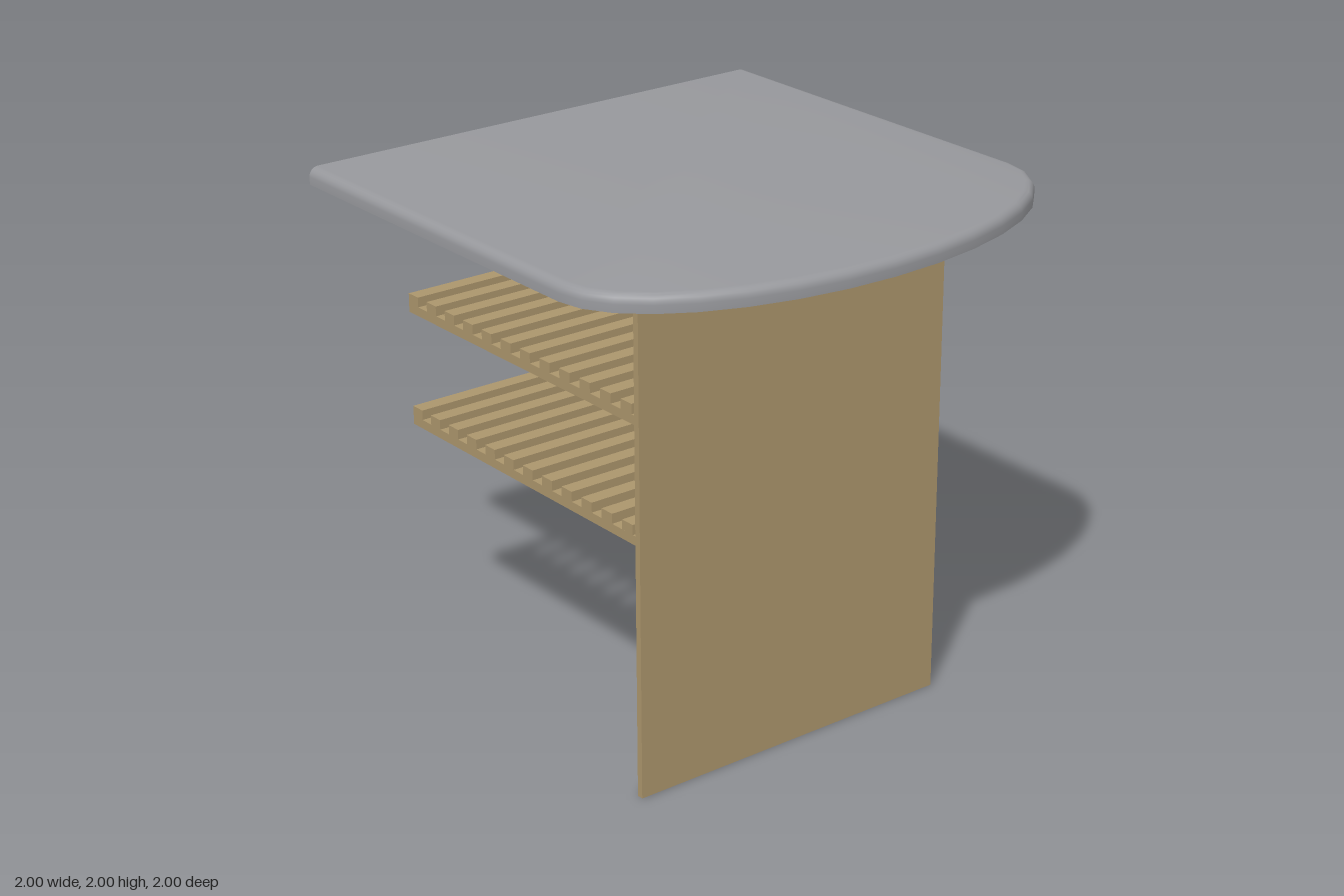
import * as THREE from 'three';
import { toCreasedNormals } from 'three/addons/utils/BufferGeometryUtils.js';

const wood = new THREE.MeshStandardMaterial({ color: 0xab956c });
wood.name = 'wood';
const grey = new THREE.MeshStandardMaterial({ color: 0x96979b });
grey.name = 'grey worktop';

// Box given by its min and max on each axis
function box(name, [x0, x1], [y0, y1], [z0, z1]) {
  const mesh = new THREE.Mesh(new THREE.BoxGeometry(x1 - x0, y1 - y0, z1 - z0), wood);
  mesh.position.set((x0 + x1) / 2, (y0 + y1) / 2, (z0 + z1) / 2);
  mesh.name = name;
  return mesh;
}

// Worktop outline: straight sides and back, half-ellipse front
function outline(inset) {
  const w = 1 - inset, d = 0.5 - inset, points = [[w, -1]];
  for (let i = 0; i <= 16; i++) {
    const a = (i / 16) * Math.PI;
    points.push([w * Math.cos(a), 0.5 + d * Math.sin(a)]);
  }
  points.push([-w, -1]);
  return points;
}

// Worktop: outlines stacked up a rounded upper edge
function worktopGeometry() {
  const r = 0.035, layers = [[1.936, 0]];
  for (let i = 0; i <= 5; i++) {
    const a = (i / 5) * Math.PI / 2;
    layers.push([2 - r + r * Math.sin(a), r * (1 - Math.cos(a))]);
  }
  const positions = [], index = [];
  const n = outline(0).length;
  for (const [y, inset] of layers) {
    for (const [x, z] of outline(inset)) positions.push(x, y, z);
  }
  for (let k = 0; k < layers.length - 1; k++) {
    for (let i = 0; i < n; i++) {
      const a = k * n + i, b = k * n + (i + 1) % n;
      index.push(a, a + n, b, b, a + n, b + n);
    }
  }
  const top = (layers.length - 1) * n;
  for (let i = 1; i < n - 1; i++) {
    index.push(0, i, i + 1);
    index.push(top, top + i + 1, top + i);
  }
  const geometry = new THREE.BufferGeometry();
  geometry.setAttribute('position', new THREE.Float32BufferAttribute(positions, 3));
  geometry.setIndex(index);
  return toCreasedNormals(geometry, 0.6);
}

// Slatted shelf: tall rail on the left, low ledge on both sides, slats across
function shelf(y) {
  const group = new THREE.Group();
  const depth = [-1, 0.475];
  group.add(box('sideRail', [0.57, 0.615], [y, y + 0.125], depth));
  group.add(box('leftLedge', [0.43, 0.57], [y, y + 0.035], depth));
  group.add(box('rightLedge', [-0.605, -0.45], [y, y + 0.035], depth));
  const count = 13, width = 0.06, pitch = (1.475 - width) / (count - 1);
  for (let i = 0; i < count; i++) {
    const z = -1 + i * pitch;
    group.add(box('slat', [-0.605, 0.57], [y + 0.035, y + 0.073], [z, z + width]));
  }
  return group;
}

export function createModel() {
  const model = new THREE.Group();
  model.name = 'counter';

  const worktop = new THREE.Mesh(worktopGeometry(), grey);
  worktop.name = 'worktop';
  model.add(worktop);

  model.add(box('frontPanel', [-0.683, 0.683], [0, 1.936], [0.475, 0.5]));

  // Rails under the worktop
  model.add(box('leftTopRail', [0.57, 0.615], [1.811, 1.936], [-1, 0.475]));
  model.add(box('rightTopRail', [-0.615, -0.57], [1.811, 1.936], [-1, 0.475]));

  const upper = shelf(1.36);
  upper.name = 'upperShelf';
  const lower = shelf(0.91);
  lower.name = 'lowerShelf';
  model.add(upper, lower);
  return model;
}
